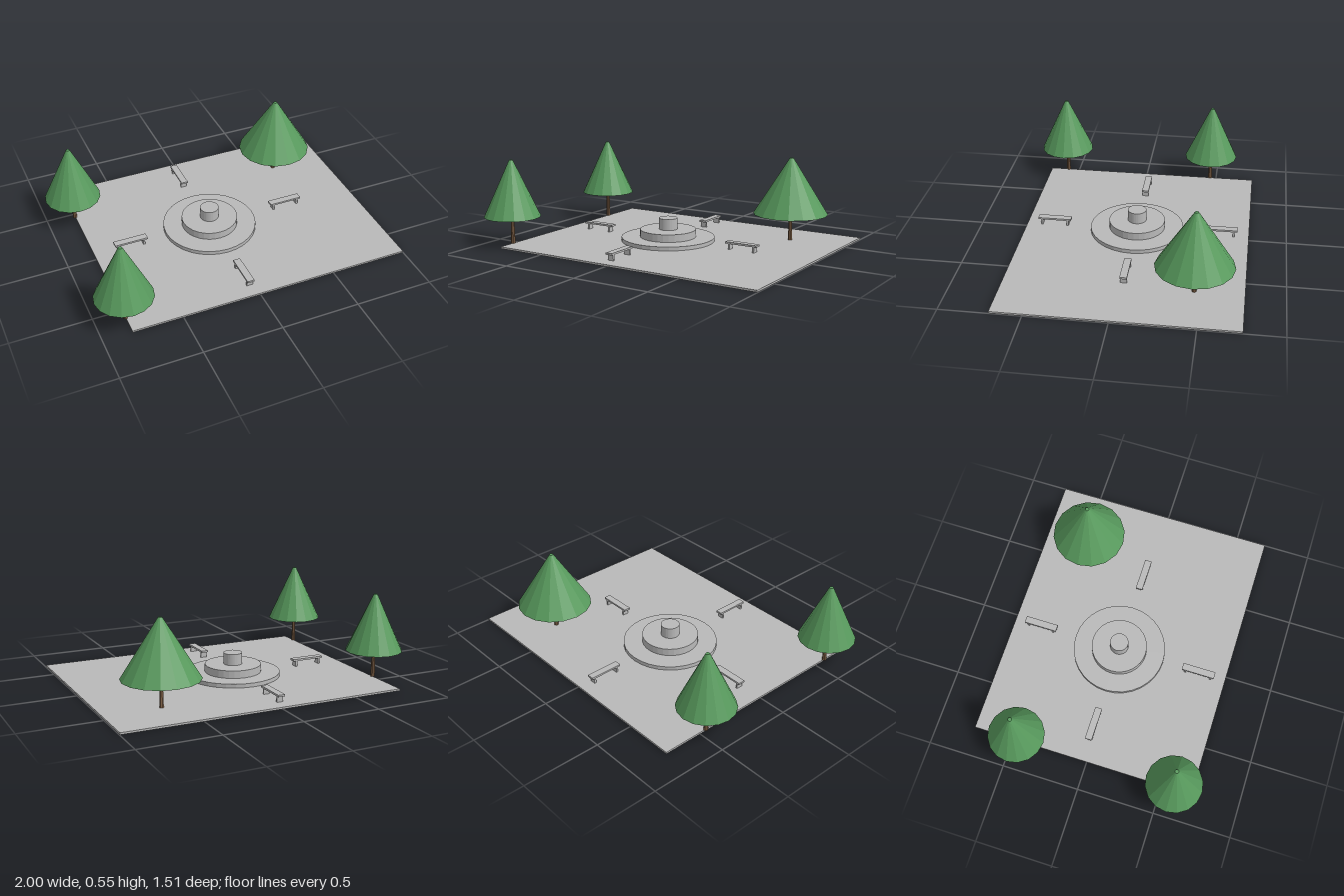
import * as THREE from 'three';

const material = (name, color) => {
  const m = new THREE.MeshStandardMaterial({ color });
  m.name = name;
  return m;
};

export function createModel() {
  const stone = material('stone grey', 0xb9b9b9);
  const leaf = material('leaf green', 0x589a5d);
  const bark = material('bark brown', 0x86664a);
  const FLOOR = 0.012;
  const CENTRE = -0.031;

  const model = new THREE.Group();
  model.name = 'plaza';

  const add = (parent, name, geometry, mat, x, y, z) => {
    const mesh = new THREE.Mesh(geometry, mat);
    mesh.name = name;
    mesh.position.set(x, y, z);
    parent.add(mesh);
    return mesh;
  };

  // Faceted upright cylinder between two heights
  const drum = (parent, name, mat, rTop, rBottom, y0, y1, sides) => {
    let g = new THREE.CylinderGeometry(rTop, rBottom, y1 - y0, sides);
    g = g.toNonIndexed();
    g.computeVertexNormals();
    return add(parent, name, g, mat, 0, (y0 + y1) / 2, 0);
  };

  // Paved slab
  add(model, 'pavement', new THREE.BoxGeometry(1.815, FLOOR, 1.455), stone, 0.09, FLOOR / 2, -0.031);

  // Stepped round monument
  const monument = new THREE.Group();
  monument.name = 'steppedMonument';
  monument.position.set(CENTRE, 0, CENTRE);
  drum(monument, 'lowerStep', stone, 0.302, 0.302, FLOOR, 0.037, 32);
  drum(monument, 'upperStep', stone, 0.181, 0.181, 0.037, 0.086, 32);
  drum(monument, 'pedestal', stone, 0.06, 0.06, 0.086, 0.159, 32);
  model.add(monument);

  // Four benches around the monument
  for (let i = 0; i < 4; i++) {
    const angle = (i * Math.PI) / 2;
    const bench = new THREE.Group();
    bench.name = 'bench';
    add(bench, 'seat', new THREE.BoxGeometry(0.217, 0.012, 0.045), stone, 0, 0.055, 0);
    for (const side of [-1, 1]) {
      add(bench, 'benchLeg', new THREE.BoxGeometry(0.012, 0.037, 0.04), stone, side * 0.085, FLOOR + 0.0185, 0);
    }
    bench.position.set(CENTRE + 0.545 * Math.cos(angle), 0, CENTRE - 0.545 * Math.sin(angle));
    bench.rotation.y = angle;
    model.add(bench);
  }

  // Trees: x, z, canopy radius
  for (const [x, z, radius] of [[-0.82, -0.457, 0.18], [-0.82, 0.575, 0.18], [0.635, -0.457, 0.24]]) {
    const tree = new THREE.Group();
    tree.name = 'tree';
    tree.position.set(x, 0, z);
    drum(tree, 'trunk', bark, 0.01, 0.014, FLOOR, 0.19, 8);
    drum(tree, 'canopy', leaf, 0.012, radius, 0.186, 0.549, 16);
    model.add(tree);
  }

  return model;
}
